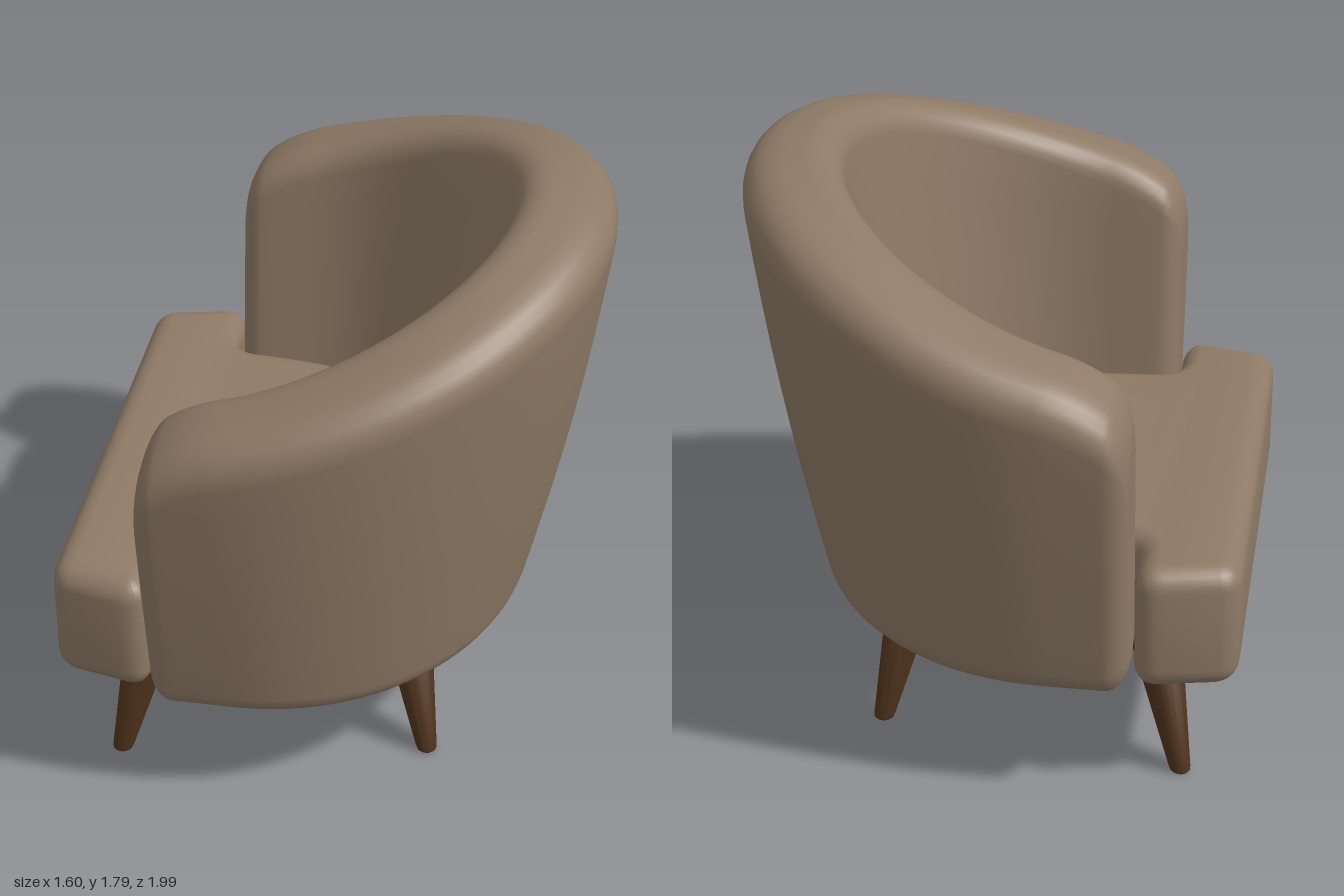
import * as THREE from 'three';
import { toCreasedNormals } from 'three/addons/utils/BufferGeometryUtils.js';

const lerp = THREE.MathUtils.lerp;
const CX = -0.22;     // centre of the curved back in plan
const FRONT = -0.48;  // front face of the arms
const FILLET = 0.07;

// Closed, rounded wall section in (radius, height), inset by d
function wallSection(inB, outB, inT, outT, H, bulge, d) {
  const y0 = 0.376;
  const V = (x, y) => new THREE.Vector2(x, y);
  const corners = [
    { p: V(inB + d, y0 + d), r: 0.08 },
    { p: V(outB - d, y0 + d), r: 0.085 },
    { p: V(outT - d, H - 0.035 - d), r: 0.13 },
    { p: V(inT + d, H - d), r: 0.1 },
  ];
  const pts = [];
  const toward = (a, b, r) => a.clone().add(b.clone().sub(a).setLength(r));
  corners.forEach((c, i) => {
    const prev = corners[(i + 3) % 4].p, nextC = corners[(i + 1) % 4];
    const a = toward(c.p, prev, c.r), b = toward(c.p, nextC.p, c.r);
    // close to a circular arc
    const arc = new THREE.CubicBezierCurve(a, a.clone().lerp(c.p, 0.6), b.clone().lerp(c.p, 0.6), b);
    pts.push(...arc.getPoints(6));
    const end = toward(nextC.p, c.p, nextC.r);
    const steps = i % 2 ? 8 : 3;
    for (let k = 1; k < steps; k++) pts.push(b.clone().lerp(end, k / steps));
  });
  // gentle outward bulge of the outer wall
  for (const p of pts) {
    const v = THREE.MathUtils.clamp((p.y - y0) / (H - y0), 0, 1);
    const inner = lerp(inB, inT, v), outer = lerp(outB, outT, v);
    const s = THREE.MathUtils.clamp((p.x - inner) / (outer - inner), 0, 1);
    p.x += bulge * Math.sin(Math.PI * v) * s;
  }
  return pts;
}

// Height of the crest: c is 1 at the middle of the back, 0 where the arms begin
const crest = (c) => 1.475 + 0.24 * c + 0.09 * c * c;

// Station on the curved back
function backStation(theta, side) {
  const k = Math.sin(theta) ** 2, c = Math.cos(theta);
  return wallSection(lerp(0.49, 0.56, k), lerp(0.78, 0.86, k), lerp(0.725, 0.685, k),
    lerp(1.03, 1.005, k), crest(c), lerp(0.025, 0.012, k), 0)
    .map((p) => new THREE.Vector3(CX + p.x * c, p.y, side * p.x * Math.sin(theta)));
}

// Station on a straight arm, its top rounding down towards the front
function armStation(x, d, side) {
  const q = Math.min(1, (CX - x) / (CX - FRONT));
  const H = crest((x - CX) / 0.85) - 0.13 * (1 - Math.sqrt(1 - q * q));
  return wallSection(0.56, 0.86, 0.685 - 0.015 * q, 1.005 - 0.018 * q * q, H, 0.012, d)
    .map((p) => new THREE.Vector3(x, p.y, side * p.x));
}

// Back and arms as one sweep with rounded, capped ends
function backGeometry() {
  const half = (side) => {
    const list = [];
    for (let i = 1; i <= 24; i++) list.push(backStation((i / 24) * Math.PI / 2, side));
    for (let i = 1; i <= 6; i++) list.push(armStation(lerp(CX, FRONT + FILLET, i / 6), 0, side));
    for (let i = 1; i <= 7; i++) {
      const f = (i / 7) * Math.PI / 2;
      list.push(armStation(FRONT + FILLET * (1 - Math.sin(f)), FILLET * (1 - Math.cos(f)), side));
    }
    return list;
  };
  const rings = [...half(-1).reverse(), backStation(0, 1), ...half(1)];
  const n = rings[0].length, m = rings.length;
  const pos = [], idx = [];
  rings.forEach((r) => r.forEach((p) => pos.push(p.x, p.y, p.z)));
  for (let i = 0; i < m - 1; i++) {
    for (let j = 0; j < n; j++) {
      const a = i * n + j, b = i * n + (j + 1) % n;
      idx.push(a, b, a + n, b, b + n, a + n);
    }
  }
  [0, m - 1].forEach((i) => {
    const mid = new THREE.Vector3();
    rings[i].forEach((p) => mid.addScaledVector(p, 1 / n));
    const c = pos.length / 3;
    pos.push(mid.x, mid.y, mid.z);
    for (let j = 0; j < n; j++) {
      const a = i * n + j, b = i * n + (j + 1) % n;
      if (i === 0) idx.push(c, b, a);
      else idx.push(c, a, b);
    }
  });
  const g = new THREE.BufferGeometry();
  g.setAttribute('position', new THREE.Float32BufferAttribute(pos, 3));
  g.setIndex(idx);
  g.computeVertexNormals();
  return g;
}

// T-shaped cushion: wide front bar, rounded tongue reaching to the back
function seatGeometry() {
  const s = new THREE.Shape();
  s.moveTo(-0.8, -0.67);
  s.quadraticCurveTo(-0.8, -0.74, -0.74, -0.76);
  s.lineTo(-0.58, -0.795);
  s.quadraticCurveTo(-0.49, -0.815, -0.49, -0.72);
  s.lineTo(-0.49, -0.65);
  s.quadraticCurveTo(-0.49, -0.55, -0.39, -0.55);
  s.bezierCurveTo(0.02, -0.53, 0.27, -0.42, 0.27, 0);
  s.bezierCurveTo(0.27, 0.42, 0.02, 0.53, -0.39, 0.55);
  s.quadraticCurveTo(-0.49, 0.55, -0.49, 0.65);
  s.lineTo(-0.49, 0.72);
  s.quadraticCurveTo(-0.49, 0.815, -0.58, 0.795);
  s.lineTo(-0.74, 0.76);
  s.quadraticCurveTo(-0.8, 0.74, -0.8, 0.67);
  s.closePath();
  const bevel = 0.068;
  const g = new THREE.ExtrudeGeometry(s, {
    depth: 0.4 - 2 * bevel, curveSegments: 14, bevelEnabled: true,
    bevelSize: bevel, bevelThickness: bevel, bevelOffset: -bevel, bevelSegments: 6,
  });
  g.rotateX(-Math.PI / 2);
  g.translate(0, 0.38 + bevel, 0);
  return toCreasedNormals(g, 0.7);
}

// Tapered leg, sheared so that its foot stays level
function legGeometry(foot, top) {
  const h = 0.42;
  const profile = [[0, 0], [0.024, 0], [0.031, 0.006], [0.034, 0.02], [0.078, h - 0.01], [0.07, h], [0, h]]
    .map(([r, y]) => new THREE.Vector2(r, y));
  const g = new THREE.LatheGeometry(profile, 24);
  const p = g.attributes.position;
  for (let i = 0; i < p.count; i++) {
    const t = p.getY(i) / h;
    p.setX(i, p.getX(i) + lerp(foot[0], top[0], t));
    p.setZ(i, p.getZ(i) + lerp(foot[1], top[1], t));
  }
  return toCreasedNormals(g, 0.7);
}

export function createModel() {
  const fabric = new THREE.MeshStandardMaterial({ color: 0x8e7a66 });
  fabric.name = 'taupe fabric';
  const wood = new THREE.MeshStandardMaterial({ color: 0x51341d });
  wood.name = 'dark wood';

  const chair = new THREE.Group();
  chair.name = 'armchair';
  const add = (name, geometry, material) => {
    const mesh = new THREE.Mesh(geometry, material);
    mesh.name = name;
    chair.add(mesh);
  };

  add('backAndArms', backGeometry(), fabric);
  add('seatCushion', seatGeometry(), fabric);
  for (const s of [-1, 1]) {
    add('frontLeg', legGeometry([-0.632, s * 0.635], [-0.54, s * 0.56]), wood);
    add('backLeg', legGeometry([0.325, s * 0.482], [0.242, s * 0.388]), wood);
  }
  return chair;
}
